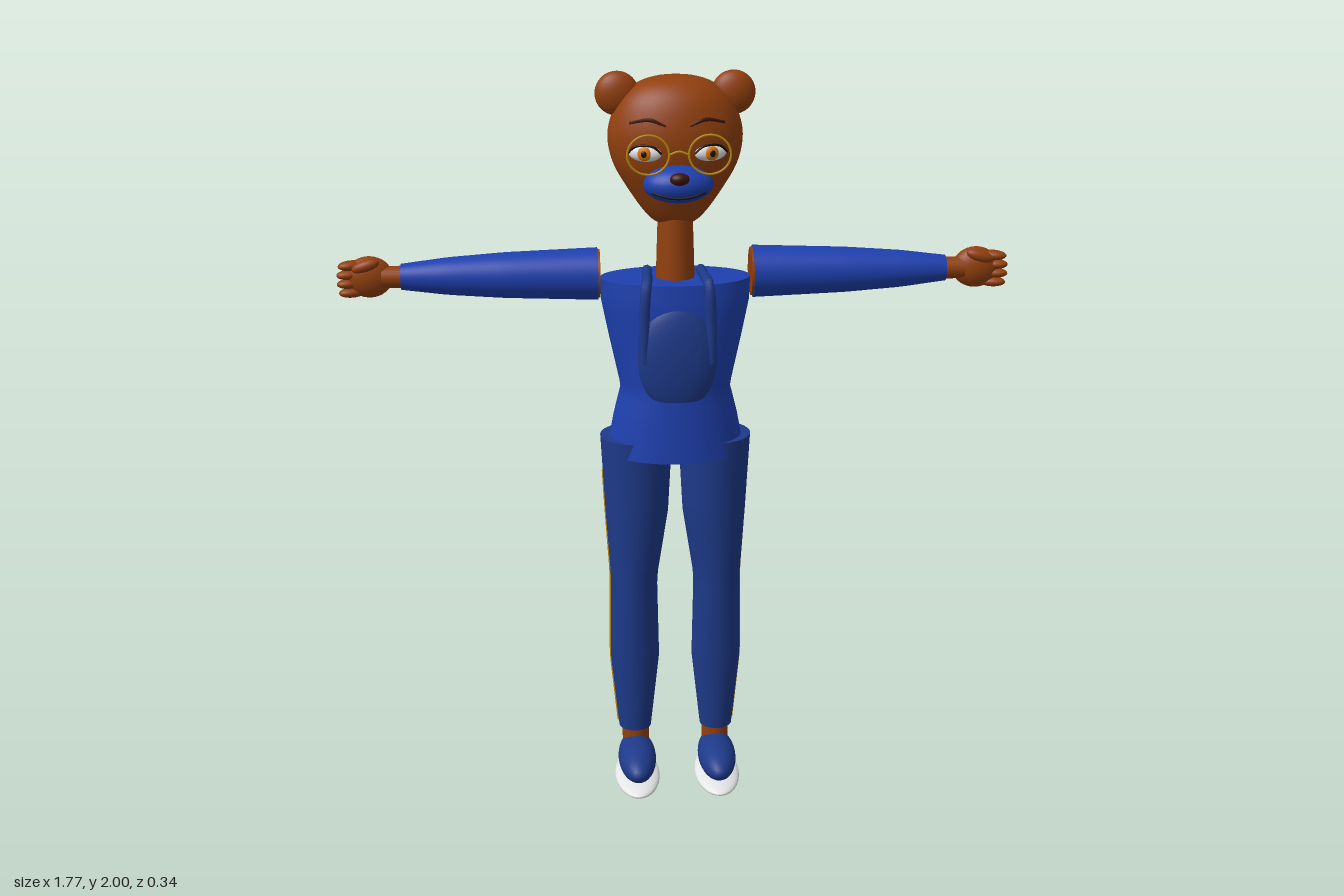
import * as THREE from 'three';

const paint = (name, color) => Object.assign(new THREE.MeshStandardMaterial({ color }), { name });
const Z = -0.04; // depth of the body axis

// [y, centre x, radius x, radius z]
const LEG = [[0.14, 0.115, 0.045, 0.045], [0.36, 0.114, 0.068, 0.06], [0.6, 0.115, 0.064, 0.073],
  [0.8, 0.106, 0.086, 0.086], [1.02, 0.106, 0.098, 0.095]];
const SHIRT = [[0.975, 0, 0.187, 0.128], [1.08, 0, 0.167, 0.123], [1.16, 0, 0.147, 0.118],
  [1.3, 0, 0.177, 0.113], [1.4, 0, 0.197, 0.112], [1.46, 0, 0.199, 0.106]];
const SLEEVE = [[0.205, 0, 0.069, 0.069], [0.45, 0, 0.06, 0.06], [0.6, 0, 0.049, 0.049], [0.72, 0, 0.034, 0.034]];

// Cross-section at height y, blended between rows
function sample(rows, y) {
  let i = 0;
  while (i < rows.length - 2 && y > rows[i + 1][0]) i++;
  const a = rows[i], b = rows[i + 1];
  const t = THREE.MathUtils.clamp((y - a[0]) / (b[0] - a[0]), 0, 1);
  return a.map((v, k) => THREE.MathUtils.lerp(v, b[k], t));
}

// Closed oval column that follows the rows
function column(rows) {
  const y0 = rows[0][0], y1 = rows[rows.length - 1][0];
  const geo = new THREE.CylinderGeometry(1, 1, y1 - y0, 48, 24, false, Math.PI);
  geo.translate(0, (y0 + y1) / 2, 0);
  const p = geo.attributes.position;
  for (let i = 0; i < p.count; i++) {
    const [, cx, rx, rz] = sample(rows, p.getY(i));
    p.setXYZ(i, cx + p.getX(i) * rx, p.getY(i), Z + p.getZ(i) * rz);
  }
  geo.computeVertexNormals();
  return geo;
}

// Point on the leg surface, pushed out a little
function onLeg(y, angle, lift) {
  const [, cx, rx, rz] = sample(LEG, y);
  return new THREE.Vector3(cx + Math.sin(angle) * (rx + lift), y, Z + Math.cos(angle) * (rz + lift));
}

export function createModel() {
  const root = new THREE.Group();
  root.name = 'bearFigure';
  const fur = paint('brown fur', 0x92400e);
  const blue = paint('royal blue', 0x1e40af);
  const denim = paint('dark blue', 0x1e3a8a);
  const gold = paint('gold', 0xb8860b);
  const white = paint('white', 0xf3f4f6);
  const amber = paint('amber', 0xd97706);
  const dark = paint('dark brown', 0x3b1508);
  const black = paint('black', 0x111111);

  const add = (parent, name, geo, mat) => {
    const m = new THREE.Mesh(geo, mat);
    m.name = name;
    parent.add(m);
    return m;
  };
  const ball = (parent, name, mat, pos, size) => {
    const m = add(parent, name, new THREE.SphereGeometry(1, 32, 20), mat);
    m.position.set(...pos);
    m.scale.set(...size);
    return m;
  };
  const tube = (parent, name, mat, pts, r, closed = false) => add(parent, name, new THREE.TubeGeometry(
    new THREE.CatmullRomCurve3(pts.map(p => Array.isArray(p) ? new THREE.Vector3(...p) : p), closed),
    40, r, 8, closed), mat);

  // Head: egg-shaped, flatter in depth
  const egg = new THREE.SplineCurve([[0, 1.6], [0.045, 1.607], [0.08, 1.636], [0.125, 1.7], [0.16, 1.762],
    [0.175, 1.825], [0.168, 1.88], [0.142, 1.935], [0.1, 1.97], [0.05, 1.987], [0, 1.99]]
    .map(p => new THREE.Vector2(...p))).getPoints(40);
  egg.forEach(p => { p.x = Math.max(p.x, 0); });
  const head = add(root, 'head', new THREE.LatheGeometry(egg, 48), fur);
  head.scale.z = 0.69;
  head.position.z = Z;
  const neck = add(root, 'neck', new THREE.CylinderGeometry(0.045, 0.052, 0.22, 32), fur);
  neck.position.set(0, 1.55, Z);

  // Muzzle, nose and mouth
  ball(root, 'muzzle', blue, [0, 1.733, 0.08], [0.09, 0.048, 0.06]);
  ball(root, 'nose', dark, [0, 1.757, 0.136], [0.025, 0.016, 0.018]);
  const mouth = [];
  for (let i = -4; i <= 4; i++) {
    const x = i * 0.0165, y = 1.706 + 0.012 * (i / 4) ** 2;
    const k = 1 - (x / 0.09) ** 2 - ((y - 1.733) / 0.048) ** 2;
    mouth.push([x, y, 0.081 + 0.06 * Math.sqrt(Math.max(k, 0))]);
  }
  tube(root, 'mouth', black, mouth, 0.0035);

  // Torso
  add(root, 'shirt', column(SHIRT), blue);
  ball(root, 'chestPatch', denim, [0, 1.26, 0.056], [0.105, 0.15, 0.036]);

  // Bridge of the glasses
  tube(root, 'glassesBridge', gold, [[-0.025, 1.815, 0.115], [0, 1.823, 0.115], [0.025, 1.815, 0.115]], 0.003);

  for (const s of [1, -1]) {
    const label = s > 0 ? 'left' : 'right';

    // Face details
    ball(root, label + 'Ear', fur, [s * 0.15, 1.945, Z], [0.057, 0.057, 0.032]);
    const eye = new THREE.Group();
    eye.name = label + 'Eye';
    eye.position.set(s * 0.083, 1.81, 0.064);
    eye.rotation.y = s * 0.25;
    root.add(eye);
    ball(eye, 'eyeWhite', white, [0, 0, 0], [0.043, 0.022, 0.016]);
    ball(eye, 'iris', amber, [0, 0, 0.012], [0.018, 0.018, 0.008]);
    ball(eye, 'pupil', black, [0, 0, 0.018], [0.008, 0.009, 0.004]);
    tube(eye, 'upperLid', black, [[-0.044, 0, 0.006], [-0.022, 0.018, 0.01], [0.022, 0.018, 0.01], [0.044, 0, 0.006]], 0.003);
    tube(root, label + 'Brow', dark, [[s * 0.03, 1.878, 0.07], [s * 0.07, 1.893, 0.061], [s * 0.12, 1.882, 0.037]], 0.005);
    const ring = [];
    for (let i = 0; i < 16; i++) {
      const a = i * Math.PI / 8;
      ring.push([s * 0.078 + 0.053 * Math.cos(a), 1.815 + 0.05 * Math.sin(a), 0.115]);
    }
    tube(root, label + 'GlassesRim', gold, ring, 0.003, true);

    // Shoulder strap
    const strap = tube(root, label + 'Strap', denim, [[0.088, 1.25, 0.066], [0.088, 1.35, 0.066], [0.084, 1.44, 0.066],
      [0.08, 1.465, 0.05], [0.075, 1.464, -0.03], [0.072, 1.462, -0.1]], 0.014);
    strap.scale.x = s;
    strap.material = denim;

    // Arm, modelled upright and turned to point sideways
    const arm = new THREE.Group();
    arm.name = label + 'Arm';
    arm.position.y = 1.47;
    arm.rotation.z = -s * Math.PI / 2;
    root.add(arm);
    add(arm, 'sleeve', column(SLEEVE), blue);
    const shoulder = add(arm, 'shoulderEnd', new THREE.CylinderGeometry(0.06, 0.064, 0.06, 32), fur);
    shoulder.position.set(0, 0.229, Z);
    const wrist = add(arm, 'wrist', new THREE.CylinderGeometry(0.029, 0.029, 0.08, 24), fur);
    wrist.position.set(0, 0.73, Z);

    // Hand
    const hand = new THREE.Group();
    hand.name = label + 'Hand';
    hand.scale.x = s;
    root.add(hand);
    ball(hand, 'palm', fur, [0.803, 1.47, -0.045], [0.062, 0.055, 0.035]);
    for (let i = 0; i < 4; i++) {
      const off = (i - 1.5) * 0.024;
      const finger = ball(hand, 'finger', fur, [0.855 - Math.abs(off) * 0.2, 1.467 + off, -0.038], [0.036, 0.0135, 0.02]);
      finger.rotation.y = -0.35;
    }
    ball(hand, 'thumb', fur, [0.81, 1.505, -0.022], [0.038, 0.016, 0.017]).rotation.z = -0.3;

    // Trouser leg with side stripe; geometry mirrored by the group
    const leg = new THREE.Group();
    leg.name = label + 'Leg';
    leg.scale.x = s;
    root.add(leg);
    add(leg, 'trouserLeg', column(LEG), denim);
    const stripe = [];
    for (let i = 0; i <= 16; i++) stripe.push(onLeg(0.15 + i * 0.0475, Math.PI / 2 + 0.22, 0.001));
    tube(leg, 'sideStripe', gold, stripe, 0.004);

    // Ragged hole at the back of the calf
    const widths = [0.08, 0.3, 0.15, 0.5, 0.32, 0.75, 0.4, 0.62, 0.18, 0.36, 0.06];
    const geo = new THREE.PlaneGeometry(2, 1, 8, widths.length - 1);
    const p = geo.attributes.position;
    for (let i = 0; i < p.count; i++) {
      const row = Math.floor(i / 9);
      const v = onLeg(0.385 - row * 0.0105, Math.PI - p.getX(i) * widths[row], 0.003);
      p.setXYZ(i, v.x, v.y, v.z);
    }
    geo.computeVertexNormals();
    const hole = paint('bare patch brown', 0x92400e);
    hole.side = THREE.DoubleSide;
    add(leg, 'raggedPatch', geo, hole);

    // Ankle and shoe
    const ankle = add(leg, 'ankle', new THREE.CylinderGeometry(0.038, 0.038, 0.09, 24), fur);
    ankle.position.set(0.113, 0.11, Z);
    ball(leg, 'shoe', blue, [0.113, 0.073, 0.033], [0.053, 0.047, 0.13]).material = denim;
    ball(leg, 'sole', white, [0.113, 0.02, 0.035], [0.063, 0.02, 0.14]);
  }
  return root;
}
